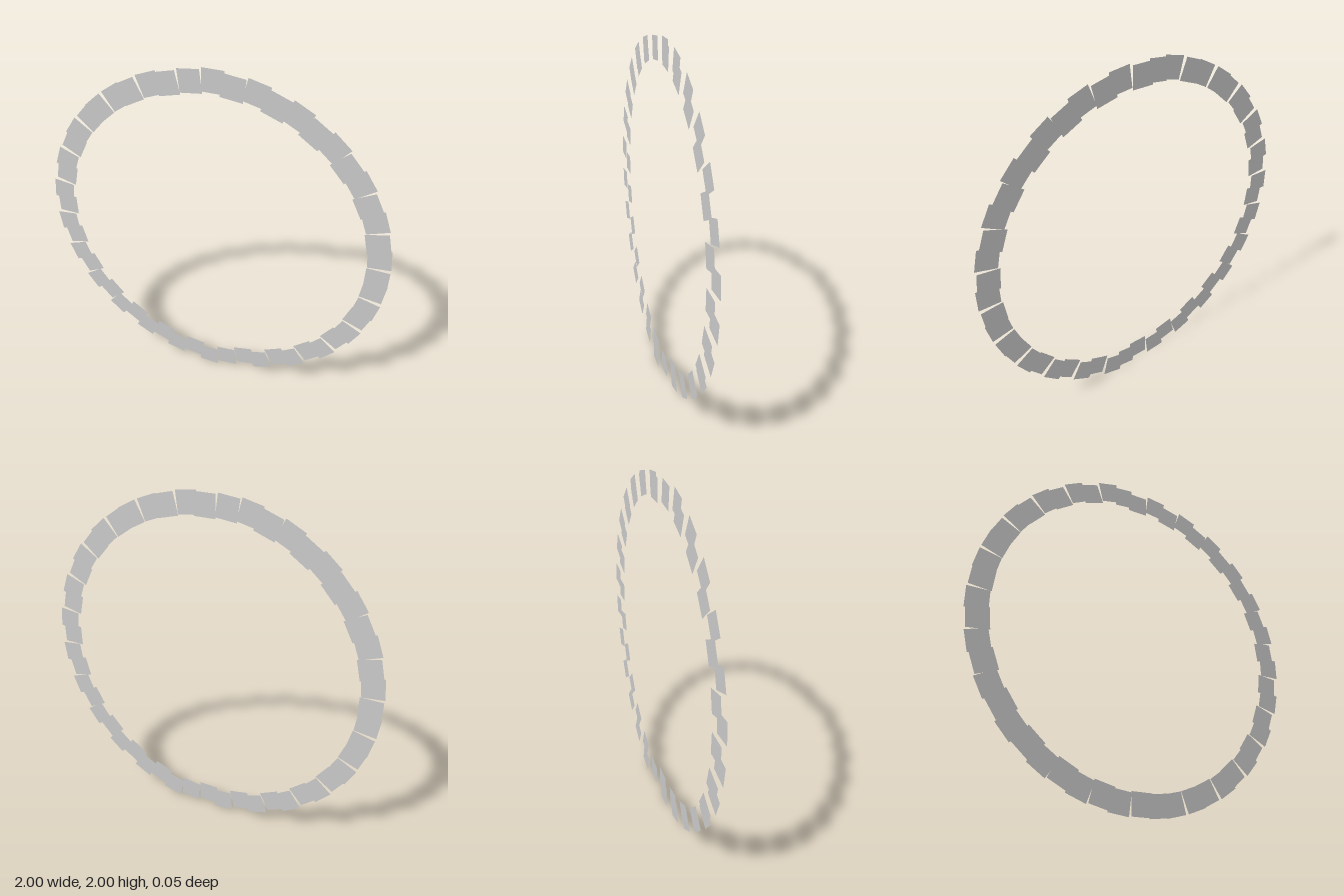
import * as THREE from 'three';

const COUNT = 52;        // tiles round the ring
const OUTER = 1;         // outer radius
const DEPTH = 0.125;     // radial size of a tile
const WIDTH = 0.121;     // tangential size of a tile
const STAGGER = 0.025;   // depth offset of every second tile

export function createModel() {
  const group = new THREE.Group();
  group.name = 'tileRing';

  const material = new THREE.MeshStandardMaterial({ color: 0xcccccc, side: THREE.DoubleSide });
  const tileGeometry = new THREE.PlaneGeometry(DEPTH, WIDTH);
  const radius = OUTER - DEPTH / 2;

  // Flat upright tiles in a circle; odd tiles step back on one half, forward on the other
  for (let i = 0; i < COUNT; i++) {
    const angle = (i / COUNT) * Math.PI * 2;
    const leftHalf = i <= COUNT / 4 || i > (COUNT * 3) / 4;
    const z = i % 2 === 0 ? 0 : leftHalf ? -STAGGER : STAGGER;

    const tile = new THREE.Mesh(tileGeometry, material);
    tile.name = 'ringTile';
    tile.position.set(Math.cos(angle) * radius, OUTER + Math.sin(angle) * radius, z);
    tile.rotation.z = angle;
    group.add(tile);
  }
  return group;
}
